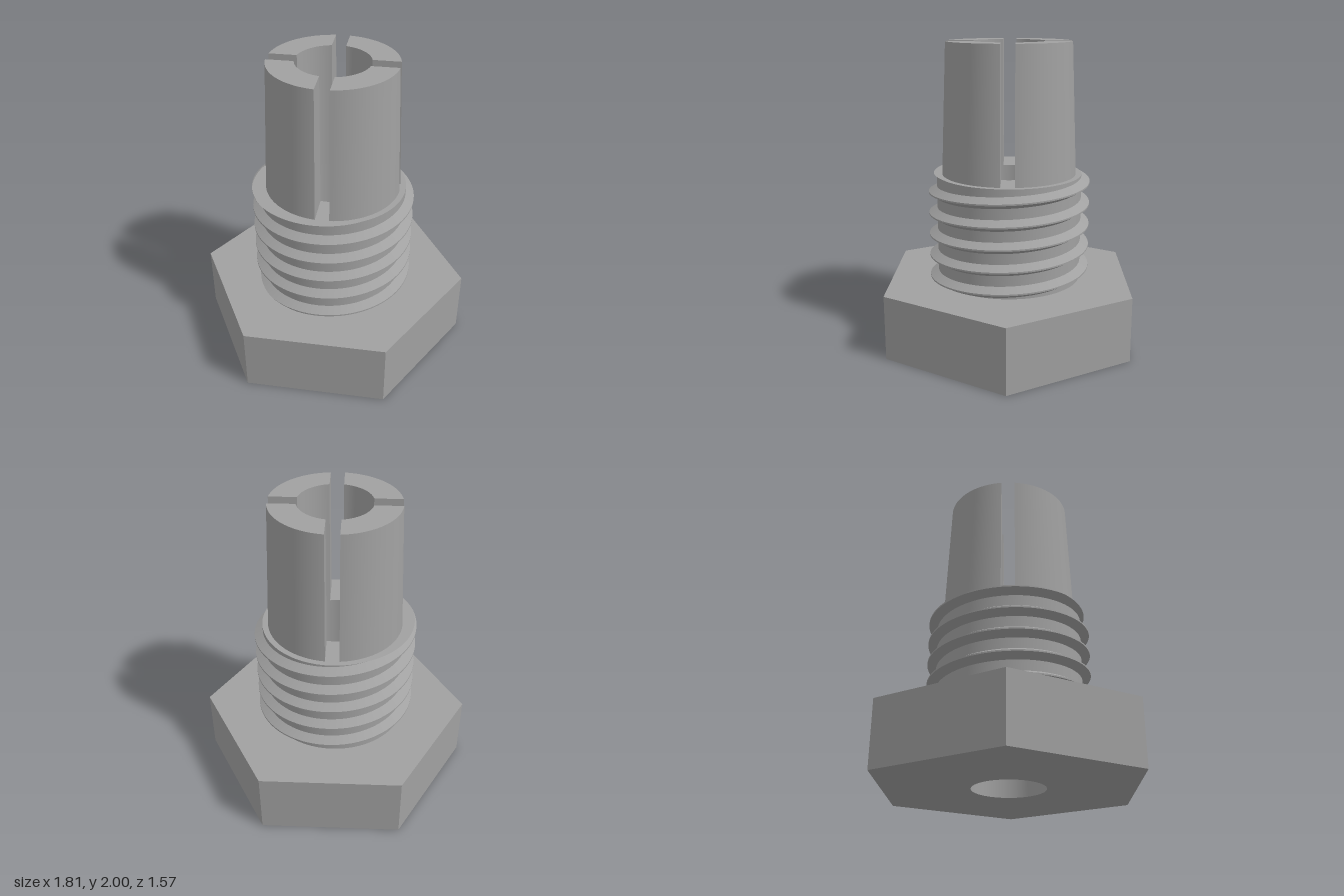
import * as THREE from 'three';
import { toCreasedNormals } from 'three/addons/utils/BufferGeometryUtils.js';

const BORE = 0.235, HEX_R = 0.907, HEX_H = 0.43, TOP = 2;
const CORE = 0.48, CREST = 0.535, SLEEVE_TOP = 1.14, PITCH = 0.1445;
const CREST_FLAT = 0.005, TOOTH_HALF = 0.037; // half widths of the tooth at crest and root

const steel = new THREE.MeshStandardMaterial({ color: 0xa0a0a0 });
steel.name = 'steel grey';

// point at radius r, height y; angle 0 is the front (+z), increasing towards +x
const polar = (r, y, a) => new THREE.Vector3(r * Math.sin(a), y, r * Math.cos(a));

// Skins a row of closed cross-sections; optionally closes the ends (four-point sections)
function skin(sections, caps) {
  const pos = [];
  const tri = (a, b, c) => {
    const area = b.clone().sub(a).cross(c.clone().sub(a)).length();
    if (area > 1e-8) for (const p of [a, b, c]) pos.push(p.x, p.y, p.z);
  };
  const quad = (a, b, c, d) => { tri(a, b, c); tri(a, c, d); };
  for (let i = 0; i < sections.length - 1; i++) {
    const s = sections[i], t = sections[i + 1], n = s.length;
    for (let j = 0; j < n; j++) quad(s[j], t[j], t[(j + 1) % n], s[(j + 1) % n]);
  }
  if (caps) {
    quad(...sections[0]);
    quad(...[...sections[sections.length - 1]].reverse());
  }
  const g = new THREE.BufferGeometry();
  g.setAttribute('position', new THREE.Float32BufferAttribute(pos, 3));
  return toCreasedNormals(g, 0.45);
}

// Hexagonal head with a round bore
function headGeometry() {
  const shape = new THREE.Shape();
  for (let i = 0; i < 6; i++) {
    const a = i * Math.PI / 3;
    shape[i ? 'lineTo' : 'moveTo'](HEX_R * Math.cos(a), HEX_R * Math.sin(a));
  }
  shape.closePath();
  shape.holes.push(new THREE.Path().absarc(0, 0, BORE, 0, Math.PI * 2, true));
  const g = new THREE.ExtrudeGeometry(shape, { depth: HEX_H, bevelEnabled: false, curveSegments: 64 });
  g.rotateX(-Math.PI / 2);
  return toCreasedNormals(g, 0.45);
}

// Sleeve whose outer profile climbs with the angle, cut flat at both ends
function threadGeometry() {
  const sections = [], steps = 128;
  for (let i = 0; i <= steps; i++) {
    const a = (i / steps) * Math.PI * 2;
    const rise = 1.02 + PITCH * i / steps;
    const radius = y => {
      const d = Math.abs(y - rise - PITCH * Math.round((y - rise) / PITCH));
      const k = (TOOTH_HALF - d) / (TOOTH_HALF - CREST_FLAT);
      return CORE + (CREST - CORE) * THREE.MathUtils.clamp(k, 0, 1);
    };
    const section = [];
    for (let turn = -6; turn <= 2; turn++) {
      for (const offset of [-TOOTH_HALF, -CREST_FLAT, CREST_FLAT, TOOTH_HALF]) {
        const y = THREE.MathUtils.clamp(rise + turn * PITCH + offset, HEX_H, SLEEVE_TOP);
        section.push(polar(radius(y), y, a));
      }
    }
    section.push(polar(BORE, SLEEVE_TOP, a), polar(BORE, HEX_H, a));
    sections.push(section);
  }
  return skin(sections, false);
}

// One tapered collet finger filling a quarter, with parallel-sided slots
function fingerGeometry() {
  const half = 0.045, steps = 24, sections = [];
  const corners = [[0.443, SLEEVE_TOP], [0.408, TOP], [BORE, TOP], [BORE, SLEEVE_TOP]];
  for (let i = 0; i <= steps; i++) {
    sections.push(corners.map(([r, y]) => {
      const edge = Math.asin(half / r);
      return polar(r, y, THREE.MathUtils.lerp(edge, Math.PI / 2 - edge, i / steps));
    }));
  }
  return skin(sections, true);
}

export function createModel() {
  const model = new THREE.Group();
  model.name = 'slottedColletBolt';
  const add = (name, geometry) => {
    const mesh = new THREE.Mesh(geometry, steel);
    mesh.name = name;
    model.add(mesh);
    return mesh;
  };
  add('hexHead', headGeometry());
  add('threadedSleeve', threadGeometry());
  const finger = fingerGeometry();
  for (let i = 0; i < 4; i++) add('colletFinger' + (i + 1), finger).rotation.y = i * Math.PI / 2;
  return model;
}
